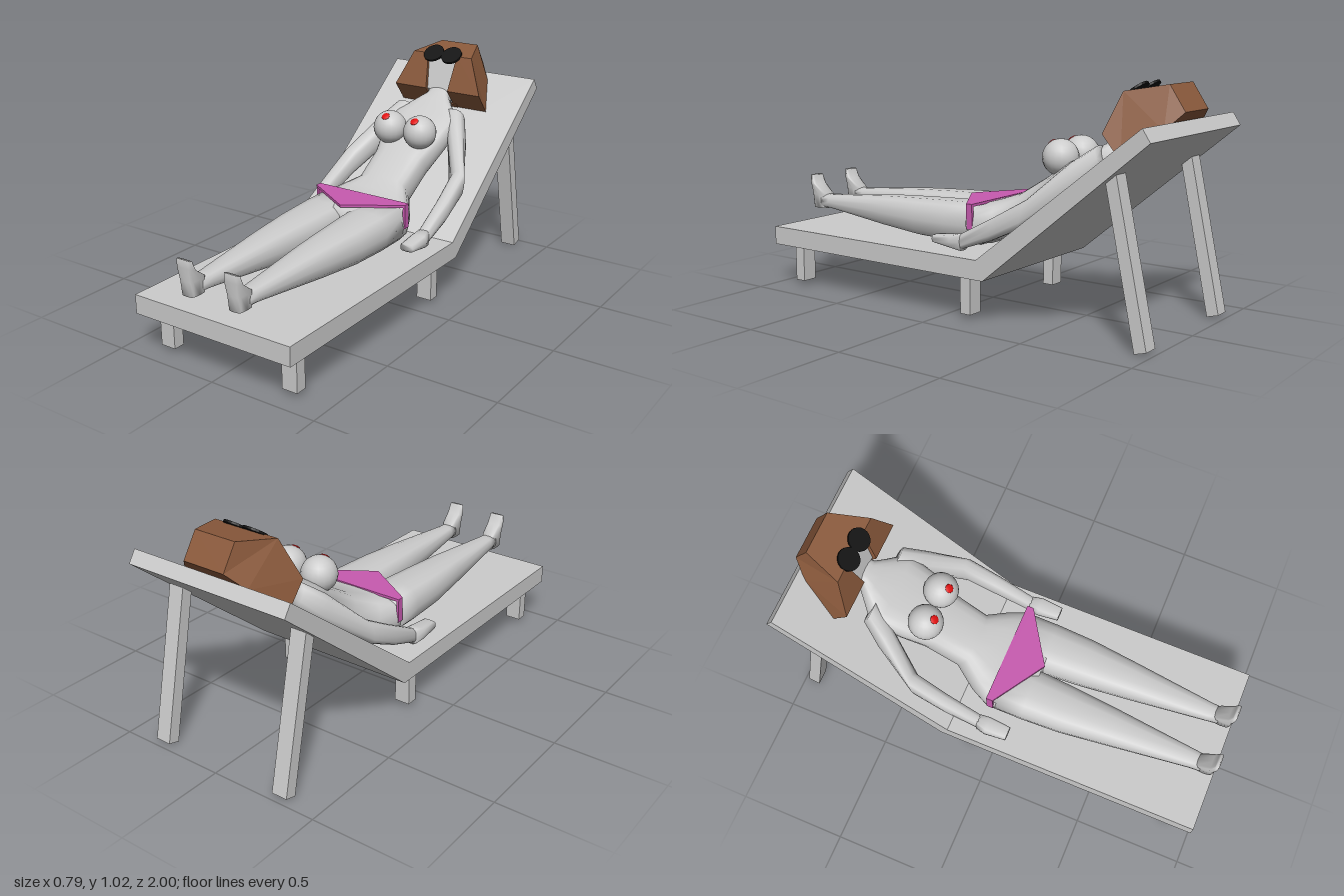
import * as THREE from 'three';

const material = (color, flat) => new THREE.MeshStandardMaterial({ color, flatShading: flat });
const grey = material(0xcccccc, true), skin = material(0xcccccc, false);
const brown = material(0x8b5a3c, true), pink = material(0xc85ab0, true);
const black = material(0x111111, true), red = material(0xe01010, false);

export function createModel() {
  const model = new THREE.Group();

  function add(name, geometry, mat) {
    const mesh = new THREE.Mesh(geometry, mat);
    mesh.name = name;
    model.add(mesh);
    return mesh;
  }

  // Side profile of [z, y] points, extruded from x0 to x1
  function slab(name, profile, x0, x1, mat = grey) {
    const shape = new THREE.Shape(profile.map(([z, y]) => new THREE.Vector2(z, y)));
    const geo = new THREE.ExtrudeGeometry(shape, { depth: x1 - x0, bevelEnabled: false });
    geo.rotateY(-Math.PI / 2).translate(x1, 0, 0);
    return add(name, geo, mat);
  }

  // Skin over cross-sections [centre x, half width, front z, front y, back z, back y]
  function loft(name, sections, mat, sides = 14, power = 0.75) {
    const pos = [], index = [];
    for (const [cx, hw, zf, yf, zb, yb] of sections) {
      for (let i = 0; i < sides; i++) {
        const a = ((i + (sides === 4 ? 0.5 : 0)) / sides) * Math.PI * 2;
        let c = Math.cos(a), s = Math.sin(a);
        const e = sides === 4 ? 0 : power;
        const round = (v) => (Math.abs(v) < 1e-6 ? 0 : Math.sign(v) * Math.abs(v) ** e);
        c = round(c);
        s = round(s);
        pos.push(cx + c * hw, (yf + yb) / 2 + (s * (yf - yb)) / 2, (zf + zb) / 2 + (s * (zf - zb)) / 2);
      }
    }
    for (let r = 0; r < sections.length - 1; r++) {
      for (let i = 0; i < sides; i++) {
        const j = (i + 1) % sides, a = r * sides, b = a + sides;
        index.push(a + i, b + i, b + j, a + i, b + j, a + j);
      }
    }
    const last = (sections.length - 1) * sides;
    for (let i = 1; i < sides - 1; i++) {
      index.push(0, i, i + 1, last, last + i + 1, last + i);
    }
    const geo = new THREE.BufferGeometry();
    geo.setAttribute('position', new THREE.Float32BufferAttribute(pos, 3));
    geo.setIndex(index);
    geo.computeVertexNormals();
    return add(name, geo, mat);
  }
  const mirror = (sections, side) => sections.map(([cx, ...rest]) => [cx * side, ...rest]);

  // Lounger: bent board, short legs and slanted back props
  slab('loungerBoard', [[1, 0.19], [1, 0.275], [-0.2, 0.275], [-0.965, 0.873], [-1, 0.82], [-0.235, 0.19]], -0.395, 0.395);
  for (const x of [-0.355, 0.28]) {
    for (const z of [0.855, -0.14]) {
      slab('loungerLeg', [[z, 0.02], [z + 0.053, 0.02], [z + 0.053, 0.2], [z, 0.2]], x, x + 0.073);
    }
    slab('backProp', [[-0.927, 0], [-0.787, 0.66], [-0.832, 0.7], [-0.98, 0.015]].reverse(), x, x + 0.073);
  }

  // Torso from pelvis to neck
  loft('torso', [
    [0, 0.11, 0.11, 0.45, 0.11, 0.29],
    [0, 0.235, 0.02, 0.465, 0.02, 0.28],
    [0, 0.24, -0.06, 0.467, -0.07, 0.278],
    [0, 0.2, -0.12, 0.485, -0.17, 0.31],
    [0, 0.13, -0.2, 0.515, -0.28, 0.37],
    [0, 0.135, -0.34, 0.6, -0.43, 0.47],
    [0, 0.165, -0.45, 0.67, -0.54, 0.56],
    [0, 0.18, -0.58, 0.735, -0.66, 0.65],
    [0, 0.1, -0.66, 0.785, -0.72, 0.7],
    [0, 0.06, -0.7, 0.81, -0.75, 0.74],
    [0, 0.055, -0.76, 0.85, -0.82, 0.79],
  ], skin, 20, 0.65);

  // Head with a plain face, a crown of hair and hair behind
  loft('head', [[0, 0.062, -0.72, 0.815, -0.775, 0.735], [0, 0.082, -0.762, 0.97, -0.91, 0.85]], grey, 4);
  loft('hairCrown', [[0, 0.16, -0.75, 0.985, -0.93, 0.84], [0, 0.1, -0.92, 1.015, -0.99, 0.91]], brown, 4);
  loft('hairBack', [[0, 0.08, -0.762, 0.743, -0.78, 0.72], [0, 0.1, -0.9, 0.865, -0.93, 0.84]], brown, 4);

  for (const side of [1, -1]) {
    loft('hairSide', mirror([
      [0.1475, 0.0875, -0.7, 0.82, -0.785, 0.718],
      [0.12, 0.04, -0.75, 0.985, -0.93, 0.84],
    ], side), brown, 4);

    // Tilted round sunglass lens
    const lens = add('sunglassLens', new THREE.CylinderGeometry(0.051, 0.051, 0.01, 20), black);
    lens.position.set(0.049 * side, 0.986, -0.753);
    lens.rotation.x = 0.64;

    // Bust
    const bust = add('bust', new THREE.SphereGeometry(0.079, 20, 14), skin);
    bust.position.set(0.082 * side, 0.688, -0.413);
    const tip = add('bustTip', new THREE.SphereGeometry(0.02, 14, 8), red);
    tip.scale.y = 0.3;
    tip.position.set(0.079 * side, 0.75, -0.368);
    tip.rotation.x = 0.63;

    // Arm and hand
    loft('arm', mirror([
      [0.315, 0.028, -0.06, 0.355, -0.06, 0.288],
      [0.312, 0.036, -0.25, 0.455, -0.22, 0.345],
      [0.303, 0.04, -0.4, 0.54, -0.37, 0.415],
      [0.195, 0.05, -0.54, 0.69, -0.59, 0.58],
      [0.14, 0.05, -0.63, 0.76, -0.67, 0.67],
    ], side), skin);
    loft('hand', mirror([
      [0.318, 0.032, 0.07, 0.342, 0.07, 0.307],
      [0.318, 0.04, -0.03, 0.352, -0.03, 0.295],
      [0.315, 0.03, -0.075, 0.362, -0.075, 0.285],
    ], side), skin, 12, 0.5);

    // Leg and upturned foot
    loft('leg', mirror([
      [0.12, 0.038, 0.93, 0.405, 0.93, 0.337],
      [0.118, 0.043, 0.88, 0.405, 0.88, 0.337],
      [0.12, 0.085, 0.5, 0.44, 0.5, 0.297],
      [0.122, 0.108, 0.28, 0.453, 0.28, 0.28],
      [0.12, 0.118, 0.1, 0.461, 0.1, 0.276],
      [0.12, 0.118, -0.05, 0.465, -0.05, 0.278],
    ], side), skin);
    loft('foot', mirror([
      [0.12, 0.033, 0.99, 0.335, 0.905, 0.335],
      [0.12, 0.037, 0.995, 0.4, 0.905, 0.405],
      [0.12, 0.04, 1, 0.46, 0.965, 0.45],
      [0.12, 0.036, 1, 0.495, 0.98, 0.49],
    ], side), skin, 12, 0.5);

    // Side strap of the swimwear
    const strap = add('swimwearStrap', new THREE.BoxGeometry(0.012, 0.108, 0.03), pink);
    strap.position.set(0.236 * side, 0.415, -0.05);
  }

  // Triangular front panel of the swimwear
  const panel = new THREE.Shape([[-0.242, 0.065], [-0.242, 0.035], [0, -0.12], [0.242, 0.035], [0.242, 0.065]]
    .map(([x, y]) => new THREE.Vector2(x, y)));
  const panelGeo = new THREE.ExtrudeGeometry(panel, { depth: 0.012, bevelEnabled: false });
  panelGeo.rotateX(-Math.PI / 2).translate(0, 0.461, 0);
  add('swimwearPanel', panelGeo, pink);

  return model;
}
